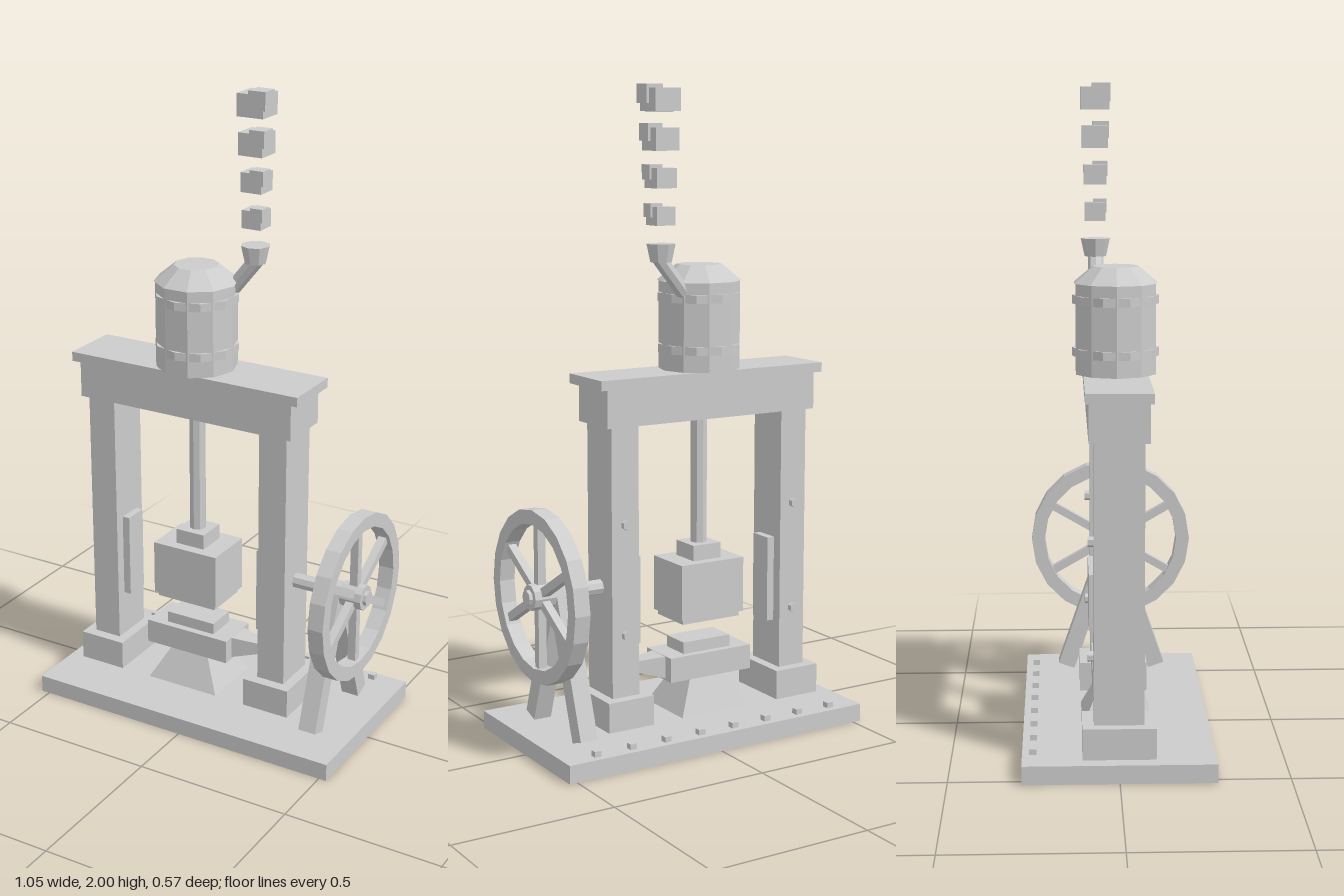
import * as THREE from 'three';

export function createModel() {
  const model = new THREE.Group();
  model.name = 'steamHammer';
  const grey = new THREE.MeshStandardMaterial({ color: 0xcccccc, flatShading: true });
  grey.name = 'light grey';
  const CX = -0.095; // centre line of the press frame

  function add(name, geo, x = 0, y = 0, z = 0, parent = model) {
    const mesh = new THREE.Mesh(geo, grey);
    mesh.name = name;
    mesh.position.set(x, y, z);
    parent.add(mesh);
    return mesh;
  }
  // Box given by its low and high limits on x and y, and centred on z
  function slab(name, x0, x1, y0, y1, halfZ, z = 0) {
    return add(name, new THREE.BoxGeometry(x1 - x0, y1 - y0, halfZ * 2), (x0 + x1) / 2, (y0 + y1) / 2, z);
  }
  // Upright cylinder or cone between two heights
  function drum(name, rTop, rBottom, y0, y1, sides, x, z = 0, turn = 0) {
    const mesh = add(name, new THREE.CylinderGeometry(rTop, rBottom, y1 - y0, sides), x, (y0 + y1) / 2, z);
    mesh.rotation.y = turn;
    return mesh;
  }

  // Base plate with a row of bolts along the back
  slab('basePlate', -0.527, 0.525, 0, 0.056, 0.285);
  for (let i = 0; i < 8; i++) {
    add('baseBolt', new THREE.BoxGeometry(0.022, 0.02, 0.022), -0.423 + i * 0.1203, 0.063, -0.253);
  }

  // Posts with feet, inner guides and back bolts
  for (const side of [-1, 1]) {
    const px = CX + side * 0.309;
    slab('post', px - 0.047, px + 0.047, 0.15, 0.99, 0.074);
    slab('postFoot', px - 0.079, px + 0.079, 0.056, 0.15, 0.108);
    const gx = px - side * 0.059;
    slab('guideRail', gx - 0.013, gx + 0.013, 0.3, 0.575, 0.04);
    for (const y of [0.345, 0.69]) {
      const bolt = add('postBolt', new THREE.CylinderGeometry(0.016, 0.016, 0.022, 6), px, y, -0.08);
      bolt.rotation.x = Math.PI / 2;
    }
  }

  // Crossbeam and its cap
  slab('crossbeam', CX - 0.376, CX + 0.376, 0.99, 1.107, 0.088);
  slab('beamCap', CX - 0.4, CX + 0.402, 1.107, 1.137, 0.098);

  // Ten-sided boiler with two bands and a domed lid
  const half = Math.PI / 10;
  drum('boiler', 0.126, 0.126, 1.137, 1.412, 10, CX, 0, half);
  for (const y of [1.19, 1.348]) drum('boilerBand', 0.131, 0.131, y, y + 0.026, 10, CX);
  drum('boilerLid', 0.07, 0.131, 1.41, 1.46, 10, CX, 0, half);

  // Slanted chimney with a flared mouth
  const pipe = add('chimneyPipe', new THREE.CylinderGeometry(0.024, 0.024, 0.15, 8), 0.04, 1.433, -0.056);
  pipe.rotation.z = -0.68;
  drum('chimneyMouth', 0.045, 0.033, 1.475, 1.53, 8, 0.077, -0.057);

  // Smoke puffs, each a large block with a smaller one on its upper corner
  const puffs = [[1.585, 0.064, 0.065], [1.695, 0.07, 0.07], [1.805, 0.08, 0.08], [1.92, 0.088, 0.08]];
  for (const [y, w, h] of puffs) {
    const small = w * 0.64;
    slab('smokePuff', 0.078 - w / 2, 0.078 + w / 2, y, y + h * 0.85, w / 2, -0.058);
    add('smokePuffTop', new THREE.BoxGeometry(small, small, small), 0.078 + w * 0.29, y + h - small / 2, -0.058 + w * 0.23);
  }

  // Piston rod, collar, ram and striking face
  drum('pistonRod', 0.026, 0.026, 0.58, 0.995, 8, CX);
  slab('ramCollar', CX - 0.05, CX + 0.05, 0.537, 0.586, 0.05);
  slab('ram', CX - 0.114, CX + 0.114, 0.362, 0.537, 0.084);
  slab('ramFace', CX - 0.104, CX + 0.104, 0.346, 0.362, 0.074);

  // Anvil on a flared pedestal, with a tapering horn
  const pedestal = new THREE.CylinderGeometry(0.065 * Math.SQRT2, 0.125 * Math.SQRT2, 0.109, 4);
  pedestal.rotateY(Math.PI / 4).scale(1, 1, 0.85);
  add('anvilPedestal', pedestal, CX, 0.1105, 0);
  slab('anvilBody', -0.245, 0.052, 0.165, 0.243, 0.073);
  slab('anvilTop', CX - 0.086, CX + 0.086, 0.243, 0.28, 0.05);
  const horn = new THREE.BoxGeometry(0.12, 0.07, 0.08);
  const p = horn.attributes.position;
  for (let i = 0; i < p.count; i++) {
    if (p.getX(i) > 0) p.setXYZ(i, p.getX(i), p.getY(i) * 0.36 + 0.014, p.getZ(i) * 0.36);
  }
  add('anvilHorn', horn, 0.112, 0.207, 0);

  // A-frame carrying the axle
  for (const side of [-1, 1]) {
    const leg = add('axleLeg', new THREE.BoxGeometry(0.058, 0.46, 0.055), 0.4, 0.283, side * 0.076);
    leg.rotation.x = -side * 0.33;
  }
  const axle = add('axle', new THREE.CylinderGeometry(0.024, 0.024, 0.255, 8), 0.387, 0.487, 0);
  axle.rotation.z = Math.PI / 2;

  // Flywheel: rim, hub and six spokes
  const wheel = new THREE.Group();
  wheel.name = 'flywheel';
  wheel.position.set(0.467, 0.487, 0);
  model.add(wheel);
  const ring = new THREE.Shape().absarc(0, 0, 0.266, 0, Math.PI * 2, false);
  ring.holes.push(new THREE.Path().absarc(0, 0, 0.222, 0, Math.PI * 2, true));
  const rim = new THREE.ExtrudeGeometry(ring, { depth: 0.05, bevelEnabled: false, curveSegments: 10 });
  rim.translate(0, 0, -0.025).rotateY(Math.PI / 2);
  add('wheelRim', rim, 0, 0, 0, wheel);
  const hub = add('wheelHub', new THREE.CylinderGeometry(0.04, 0.04, 0.072, 10), 0, 0, 0, wheel);
  hub.rotation.z = Math.PI / 2;
  for (let i = 0; i < 6; i++) {
    const spoke = new THREE.BoxGeometry(0.026, 0.2, 0.026).translate(0, 0.13, 0).rotateX(i * Math.PI / 3);
    add('wheelSpoke', spoke, 0, 0, 0, wheel);
  }
  return model;
}
